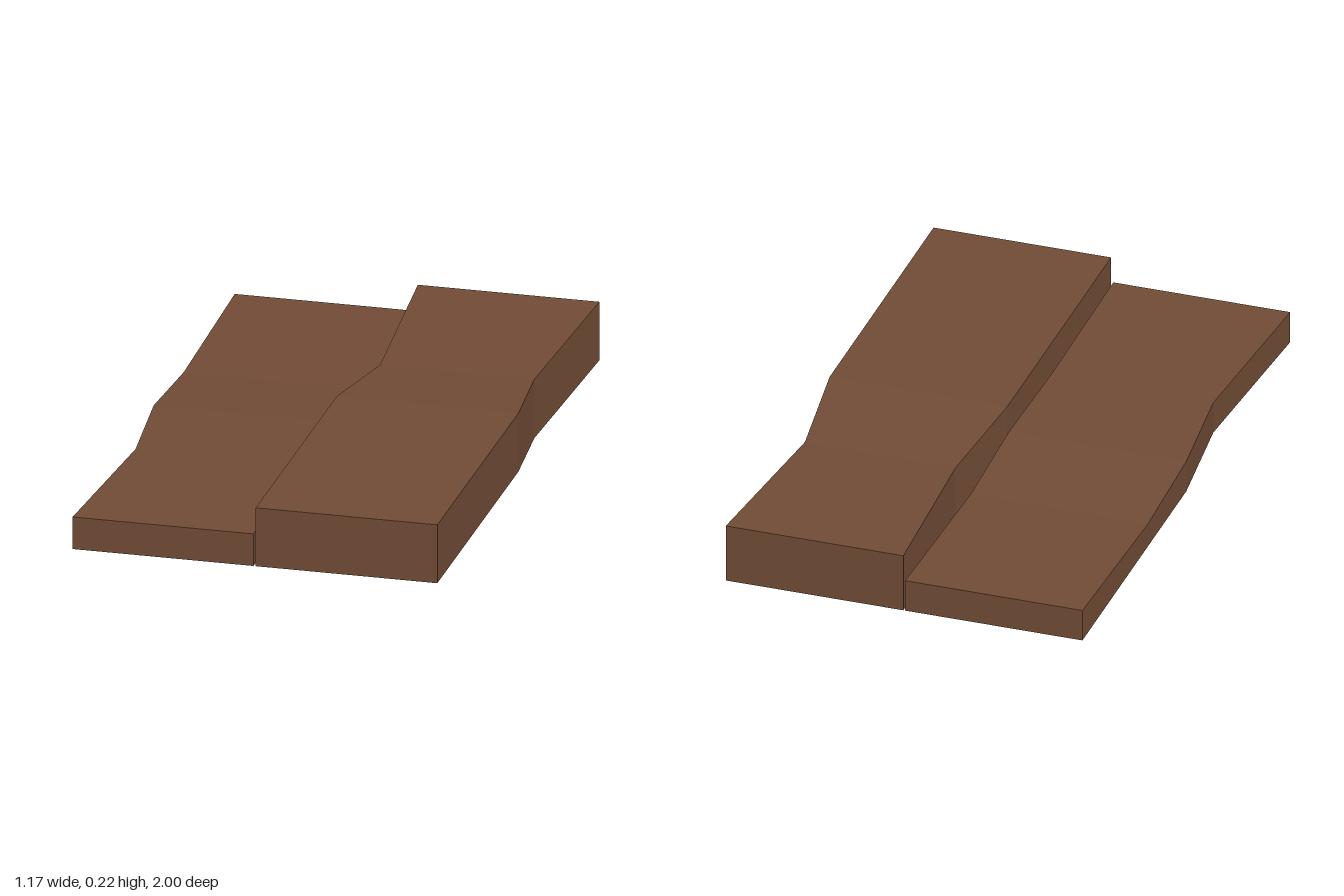
import * as THREE from 'three';

// Lofts rectangular sections [z, x0, x1, y0, y1], listed from front to back.
function plank(name, sections, material) {
  const rings = sections.map(([z, x0, x1, y0, y1]) =>
    [[x0, y0, z], [x1, y0, z], [x1, y1, z], [x0, y1, z]]);
  const positions = [];
  const quad = (a, b, c, d) => positions.push(...a, ...b, ...c, ...a, ...c, ...d);

  // End faces
  const front = rings[0];
  const back = rings[rings.length - 1];
  quad(front[0], front[1], front[2], front[3]);
  quad(back[3], back[2], back[1], back[0]);

  // Bottom, sides and top
  for (let i = 0; i < rings.length - 1; i++) {
    for (let j = 0; j < 4; j++) {
      const k = (j + 1) % 4;
      quad(rings[i][j], rings[i + 1][j], rings[i + 1][k], rings[i][k]);
    }
  }
  const geometry = new THREE.BufferGeometry();
  geometry.setAttribute('position', new THREE.Float32BufferAttribute(positions, 3));
  geometry.computeVertexNormals();
  const mesh = new THREE.Mesh(geometry, material);
  mesh.name = name;
  return mesh;
}

export function createModel() {
  const wood = new THREE.MeshStandardMaterial({ color: 0x704b35 });
  wood.name = 'brown wood';

  const model = new THREE.Group();
  model.name = 'planks';

  // Thick plank, pinched and sagging towards the back
  model.add(plank('thickPlank', [
    [1, 0.002, 0.587, 0.03, 0.225],
    [0, 0.002, 0.587, 0.03, 0.225],
    [-0.37, 0.045, 0.542, 0, 0.197],
    [-1, 0.002, 0.587, 0.03, 0.225],
  ], wood));

  // Thin plank, notched at the front and worn down on top at the back
  model.add(plank('thinPlank', [
    [1, -0.588, -0.005, 0.03, 0.137],
    [0.38, -0.547, -0.011, 0.03, 0.137],
    [0, -0.588, -0.004, 0.03, 0.137],
    [-0.37, -0.588, -0.004, 0.03, 0.11],
    [-1, -0.588, -0.004, 0.03, 0.137],
  ], wood));

  return model;
}
